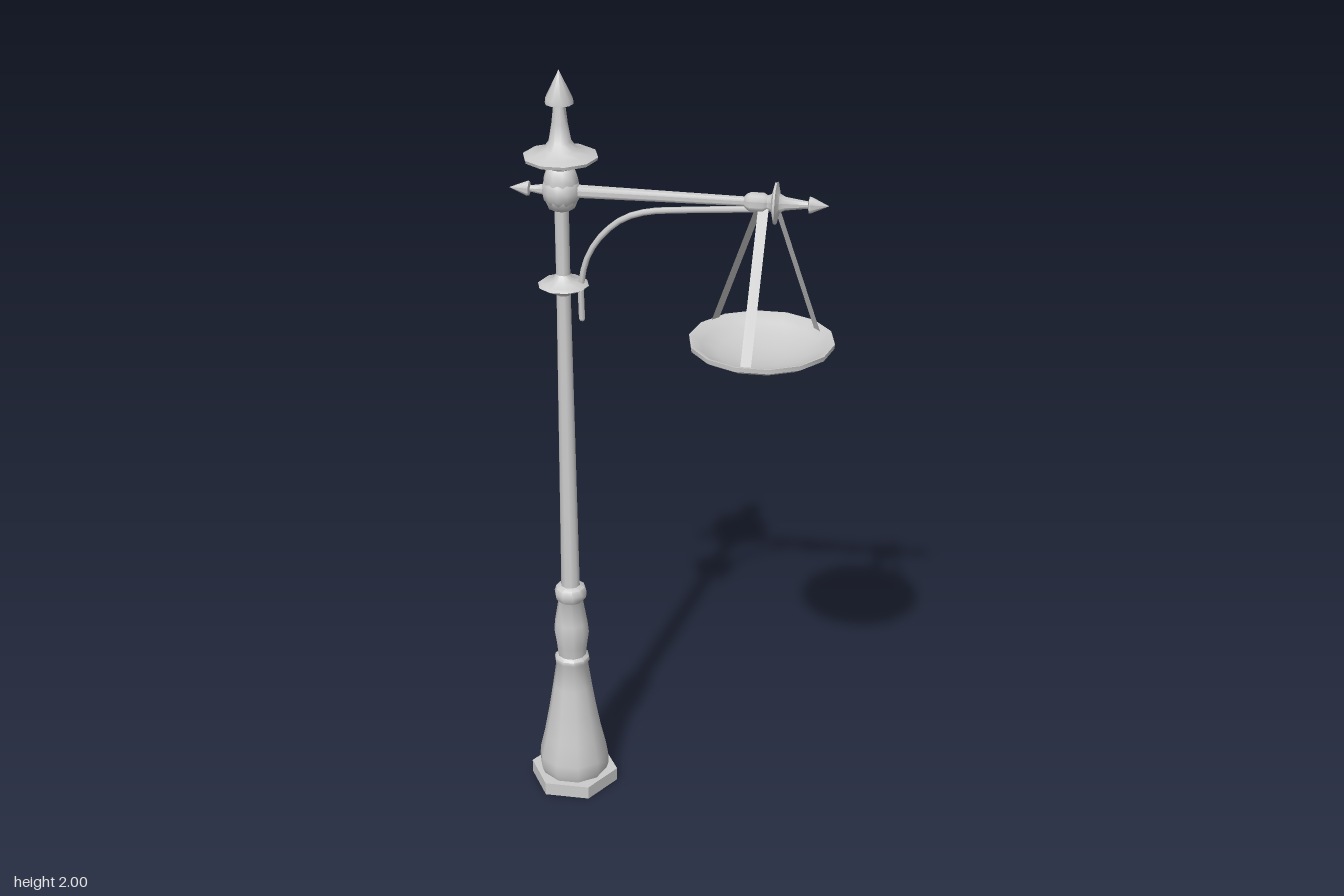
import * as THREE from 'three';
import { toCreasedNormals } from 'three/addons/utils/BufferGeometryUtils.js';

const POST_X = -0.273;
const PAN_X = 0.22;
const ARM_Y = 1.7;

export function createModel() {
  const model = new THREE.Group();
  model.name = 'hangingPanPost';
  const grey = new THREE.MeshStandardMaterial({ color: 0xcccccc });
  const thin = new THREE.MeshStandardMaterial({ color: 0xcccccc, side: THREE.DoubleSide });

  const add = (name, geometry, material = grey) => {
    const mesh = new THREE.Mesh(geometry, material);
    mesh.name = name;
    model.add(mesh);
    return mesh;
  };
  // Turned part from [radius, height] pairs, with a corner on the x axis
  const turned = (name, profile, sides) => {
    const points = profile.map(([r, y]) => new THREE.Vector2(r, y));
    const geometry = new THREE.LatheGeometry(points, sides, Math.PI / 2);
    return add(name, toCreasedNormals(geometry, 0.9));
  };

  // Hexagonal foot
  const foot = new THREE.CylinderGeometry(0.118, 0.118, 0.036, 6, 1, false, Math.PI / 2);
  add('foot', toCreasedNormals(foot, 0.5)).position.set(POST_X, 0.018, 0);

  // Bell-shaped base and baluster
  turned('base', [
    [0.088, 0.034], [0.095, 0.055], [0.094, 0.085], [0.08, 0.145], [0.066, 0.22],
    [0.053, 0.3], [0.043, 0.37], [0.047, 0.378], [0.046, 0.388], [0.038, 0.395],
    [0.041, 0.425], [0.047, 0.465], [0.044, 0.495], [0.033, 0.56], [0.041, 0.57],
    [0.043, 0.585], [0.038, 0.6], [0.024, 0.606],
  ], 10).position.x = POST_X;

  // Tapering shaft
  turned('shaft', [[0.025, 0.595], [0.018, 1.43], [0.018, 1.67]], 10).position.x = POST_X;

  // Collar that the bracket passes through
  turned('collar', [
    [0.018, 1.43], [0.026, 1.442], [0.055, 1.45], [0.064, 1.456],
    [0.055, 1.463], [0.026, 1.47], [0.018, 1.484],
  ], 10).position.x = POST_X;

  // Hub, canopy disc and spear finial
  turned('hubAndFinial', [
    [0.018, 1.65], [0.033, 1.657], [0.042, 1.68], [0.043, 1.73], [0.036, 1.752],
    [0.03, 1.758], [0.05, 1.77], [0.09, 1.781], [0.092, 1.789], [0.075, 1.795],
    [0.042, 1.805], [0.028, 1.825], [0.02, 1.87], [0.015, 1.912], [0.035, 1.918],
    [0.034, 1.93], [0, 2],
  ], 10).position.x = POST_X;

  // Round joint where the arm meets the post
  add('armJoint', new THREE.SphereGeometry(0.048, 12, 8)).position.set(POST_X, ARM_Y, 0);

  // Horizontal arm, turned along x, with a spear at each end
  const arm = turned('arm', [
    [0, -0.402], [0.019, -0.356], [0.018, -0.352], [0.008, -0.349], [0.013, -0.32],
    [0.017, -0.27], [0.012, 0.172], [0.019, 0.178], [0.024, 0.187], [0.024, 0.218],
    [0.018, 0.228], [0.023, 0.238], [0.051, 0.245], [0.053, 0.25], [0.024, 0.257],
    [0.017, 0.27], [0.009, 0.325], [0.021, 0.328], [0.02, 0.333], [0, 0.375],
  ], 10);
  arm.rotation.z = -Math.PI / 2;
  arm.position.y = ARM_Y;

  // Curved bracket below the arm
  const bracketPath = new THREE.CatmullRomCurve3([
    [-0.228, 1.368], [-0.228, 1.46], [-0.212, 1.53], [-0.178, 1.587],
    [-0.125, 1.635], [-0.065, 1.658], [0.02, 1.668], [0.22, 1.683],
  ].map(([x, y]) => new THREE.Vector3(x, y, 0)));
  add('bracket', new THREE.TubeGeometry(bracketPath, 20, 0.008, 6), thin);
  for (const end of [0, 1]) {
    const cap = add('bracketEnd', new THREE.SphereGeometry(0.008, 6, 4));
    cap.position.copy(bracketPath.getPoint(end));
  }

  // Shallow hanging pan
  turned('pan', [
    [0, 1.285], [0.06, 1.289], [0.115, 1.302], [0.155, 1.319], [0.179, 1.333],
    [0.18, 1.345], [0.174, 1.345], [0.15, 1.327], [0.11, 1.311], [0.06, 1.299], [0, 1.295],
  ], 14).position.x = PAN_X;

  // Three flat straps, each lying across its own direction of lean
  const straps = [
    [[0.212, 1.7, -0.008], [0.087, 1.338, -0.11]],
    [[0.245, 1.7, -0.008], [0.345, 1.338, -0.097]],
    [[0.22, 1.7, 0.008], [0.203, 1.338, 0.163]],
  ];
  for (const [top, bottom] of straps) {
    const a = new THREE.Vector3(...top);
    const b = new THREE.Vector3(...bottom);
    const down = b.clone().sub(a);
    const side = new THREE.Vector3(-down.z, 0, down.x).normalize();
    const along = down.clone().normalize();
    const strap = add('strap', new THREE.PlaneGeometry(0.026, down.length()), thin);
    strap.quaternion.setFromRotationMatrix(
      new THREE.Matrix4().makeBasis(side, along, side.clone().cross(along)));
    strap.position.copy(a).add(b).multiplyScalar(0.5);
  }

  return model;
}
